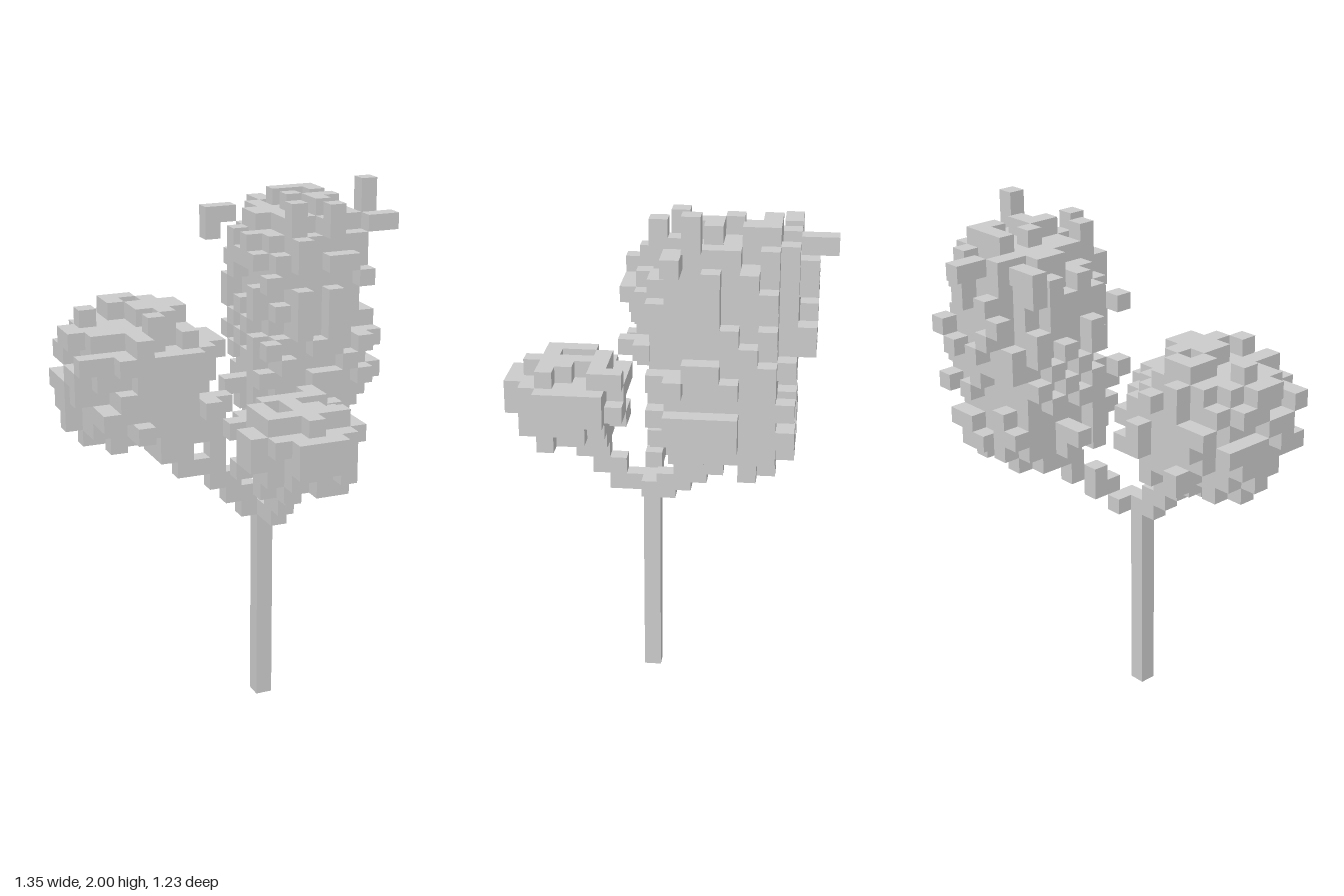
import * as THREE from 'three';
import { mergeGeometries } from 'three/addons/utils/BufferGeometryUtils.js';

// Cell grid: 21 wide, 31 high, 19 deep
const S = 2 / 31;
const DIRS = [[1, 0, 0], [-1, 0, 0], [0, 1, 0], [0, -1, 0], [0, 0, 1], [0, 0, -1]];
const key = (i, j, k) => `${i},${j},${k}`;

function hash(i, j, k) {
  let h = Math.imul(i + 17, 374761393) ^ Math.imul(j + 31, 668265263) ^ Math.imul(k + 7, 1274126177);
  for (const m of [2246822519, 3266489917, 668265263]) h = Math.imul(h ^ (h >>> 15), m);
  return ((h ^ (h >>> 16)) >>> 0) / 4294967296;
}

// One square per side of a cell
const FACES = DIRS.map(([x, y, z]) => {
  const g = new THREE.PlaneGeometry(S, S);
  if (x) g.rotateY(x * Math.PI / 2);
  if (y) g.rotateX(-y * Math.PI / 2);
  if (z < 0) g.rotateY(Math.PI);
  return g.translate(x * S / 2, y * S / 2, z * S / 2);
});

// Solid rounded core with loose cubes scattered over its surface
function crown({ c, r, p, column = 0, top, lift = () => 0, lean = () => 0, bits }) {
  const cells = new Map();
  const add = (i, j, k) => cells.set(key(i, j, k), [i, j, k]);
  const inCore = (i, j, k) => {
    const dy = Math.max(0, Math.abs(j - c[1] - lift(i, k)) - column);
    const dz = Math.abs(k - c[2] - lean(j));
    return (Math.abs(i - c[0]) / r[0]) ** p + (dy / r[1]) ** p + (dz / r[2]) ** p <= 1;
  };
  for (let i = 0; i < 21; i++) for (let j = 12; j <= top; j++) for (let k = 0; k < 19; k++) {
    const touches = DIRS.some(([x, y, z]) => inCore(i + x, j + y, k + z));
    if (inCore(i, j, k) || (touches && hash(i, j, k) < 0.45)) add(i, j, k);
  }
  bits.forEach((b) => add(...b));
  return [...cells.values()];
}

export function createModel() {
  const parts = {
    trunk: Array.from({ length: 12 }, (_, j) => [11, j, 10]),
    leftBranch: [[12, 12, 10], [12, 12, 9], [13, 13, 9], [13, 13, 8], [13, 14, 8], [14, 14, 7],
      [14, 15, 7], [15, 15, 6], [15, 16, 6]],
    rightBranch: [[11, 12, 10], [10, 12, 10], [10, 13, 10], [9, 13, 10], [9, 14, 10], [8, 14, 10],
      [8, 15, 10], [7, 15, 10], [6, 15, 10], [6, 16, 10], [5, 16, 10], [5, 17, 10],
      [8, 16, 10], [8, 17, 10], [7, 17, 10]],
    frontBranch: [[11, 12, 11], [11, 12, 12], [11, 13, 12], [11, 13, 13], [11, 14, 13],
      [11, 14, 14], [11, 15, 14], [11, 15, 15]],
    // Tall crown at the back left, set a little forward at its foot
    tallCrown: crown({
      c: [15.5, 22.4, 5], r: [3.05, 3.4, 3.45], p: 3.8, column: 2.6, top: 29,
      lean: (j) => (j < 22 ? 0.5 : 0),
      bits: [[15, 28, 0], [15, 28, 1], [11, 27, 2], [11, 28, 2], [12, 28, 2], [11, 18, 5], [12, 18, 5],
        [20, 28, 8], [19, 28, 8], [19, 29, 7], [19, 30, 7], [12, 21, 9], [18, 25, 9], [12, 25, 9],
        [19, 20, 2], [19, 24, 3], [12, 23, 3], [12, 26, 4], [13, 25, 1], [18, 24, 1], [14, 29, 8],
        [16, 28, 9], [16, 29, 9], [18, 16, 4], [13, 16, 6], [17, 16, 3], [16, 16, 7]],
    }),
    // Wide crown on the right, dropping towards the trunk
    wideCrown: crown({
      c: [4, 20.5, 8.5], r: [3.8, 3.3, 3.1], p: 3, top: 24,
      lift: (i) => Math.min(0, 4 - i) * 0.3,
      bits: [[1, 21, 5], [3, 20, 5], [7, 19, 5], [1, 19, 12], [7, 19, 12], [0, 20, 6], [8, 20, 6],
        [0, 22, 11], [8, 19, 11], [0, 18, 8], [1, 17, 8], [1, 24, 8], [4, 24, 9]],
    }),
    // Small crown at the front
    smallCrown: crown({
      c: [11.2, 17.1, 14.7], r: [2.6, 1.9, 2.6], p: 2.6, top: 19,
      lift: (i, k) => (k - 14.7) * 0.15,
      bits: [[8, 18, 13], [9, 18, 13], [8, 17, 15], [9, 17, 15], [11, 18, 18], [12, 18, 18],
        [14, 17, 14], [14, 18, 16], [9, 18, 17], [13, 18, 17], [10, 19, 13], [12, 19, 15],
        [9, 19, 14], [13, 19, 16], [13, 19, 12], [9, 18, 12], [10, 18, 12], [12, 17, 12], [11, 19, 17]],
    }),
  };

  const filled = new Set();
  for (const cells of Object.values(parts)) cells.forEach((cell) => filled.add(key(...cell)));

  const material = new THREE.MeshStandardMaterial({ color: 0xcccccc, flatShading: true });
  const model = new THREE.Group();
  const used = new Set();
  for (const [name, cells] of Object.entries(parts)) {
    const squares = [];
    for (const [i, j, k] of cells) {
      if (used.has(key(i, j, k))) continue;
      used.add(key(i, j, k));
      // Only sides open to the air are built
      DIRS.forEach(([x, y, z], f) => {
        if (filled.has(key(i + x, j + y, k + z))) return;
        squares.push(FACES[f].clone().translate((i - 10) * S, (j + 0.5) * S, (k - 9) * S));
      });
    }
    const mesh = new THREE.Mesh(mergeGeometries(squares), material);
    mesh.name = name;
    model.add(mesh);
  }
  return model;
}
